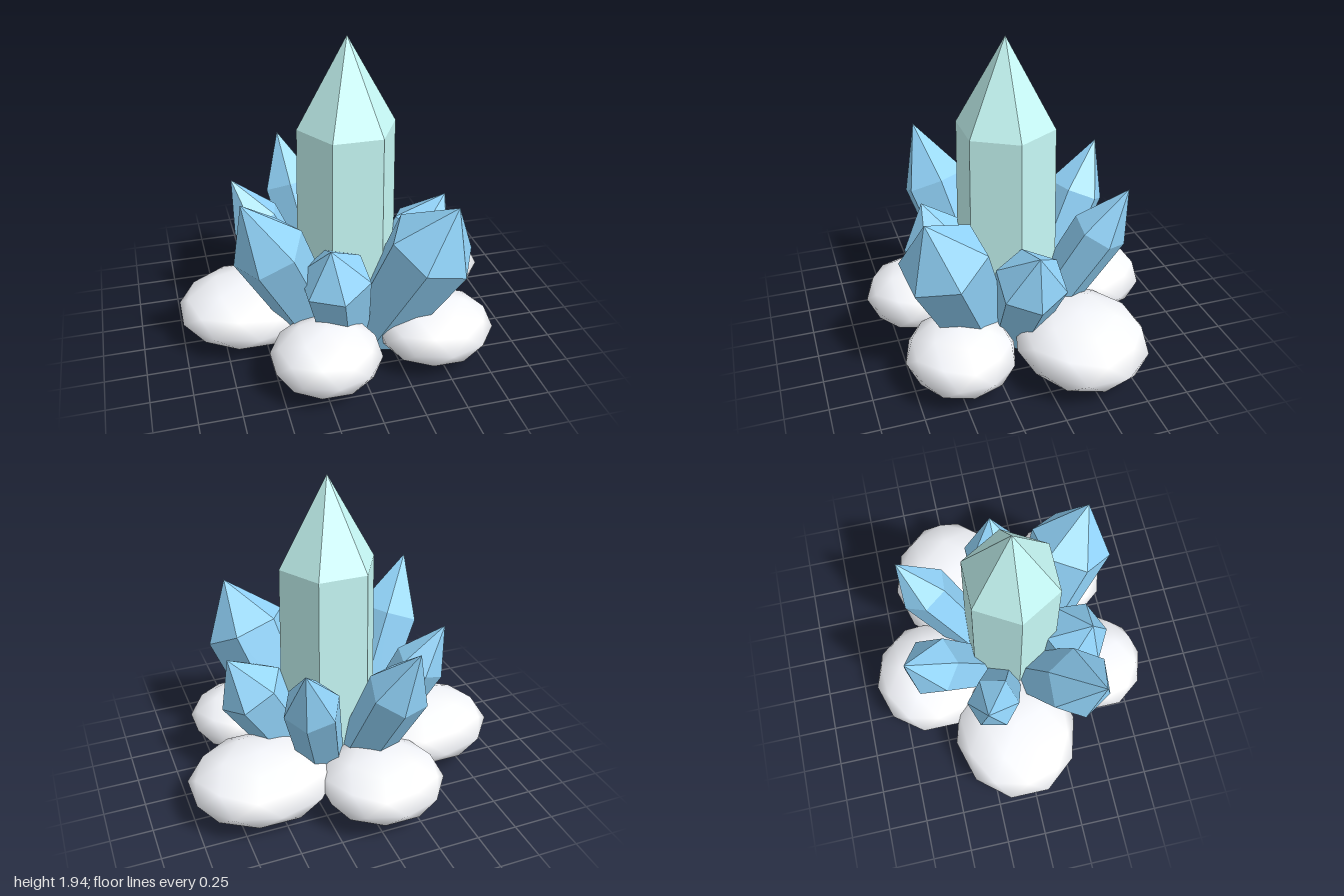
import * as THREE from 'three';

const paleMat = new THREE.MeshStandardMaterial({ color: 0xc6f8f5, flatShading: true });
const blueMat = new THREE.MeshStandardMaterial({ color: 0x92d4fa, flatShading: true });
const stoneMat = new THREE.MeshStandardMaterial({ color: 0xf6f8fd });

// Six-sided pointed crystal running from a base centre to its tip.
// phase (degrees) turns the facets; 0 puts a corner on the outward side.
function crystal(name, base, tip, shoulder, baseR, shoulderR, phase, material) {
  const from = new THREE.Vector3(...base);
  const axis = new THREE.Vector3(...tip).sub(from);
  const length = axis.length();
  axis.normalize();

  const profile = [[0, 0], [baseR, 0], [shoulderR, length * shoulder], [0, length]]
    .map(([r, y]) => new THREE.Vector2(r, y));
  const geometry = new THREE.LatheGeometry(profile, 6);
  geometry.rotateY(Math.PI / 2 - THREE.MathUtils.degToRad(phase));

  // Outward direction square to the axis
  const out = new THREE.Vector3(axis.x, 0, axis.z);
  if (out.length() < 0.01) out.set(1, 0, 0);
  out.addScaledVector(axis, -out.dot(axis)).normalize();
  const side = new THREE.Vector3().crossVectors(out, axis);
  geometry.applyMatrix4(new THREE.Matrix4().makeBasis(out, axis, side).setPosition(from));

  const mesh = new THREE.Mesh(geometry, material);
  mesh.name = name;
  return mesh;
}

// Flattened smooth stone: an icosphere with one corner up and a ten-sided rim
function stone(name, [x, y, z], [rx, ry, rz]) {
  const geometry = new THREE.IcosahedronGeometry(1, 1);
  geometry.rotateX(-Math.atan((1 + Math.sqrt(5)) / 2));
  geometry.rotateY(Math.PI / 10);
  geometry.scale(rx, ry, rz);
  const mesh = new THREE.Mesh(geometry, stoneMat);
  mesh.name = name;
  mesh.position.set(x, y, z);
  return mesh;
}

export function createModel() {
  const model = new THREE.Group();
  model.name = 'crystalCluster';

  // Tall upright crystal in the middle
  model.add(crystal('mainCrystal', [0.035, 0.06, 0.045], [0.035, 1.935, 0.045], 0.715, 0.317, 0.297, 0, paleMat));

  // Ring of leaning crystals: name, base, tip, shoulder fraction, base radius, shoulder radius, phase
  const leaning = [
    ['frontLeftCrystal', [0.18, 0.09, 0.25], [0.515, 1.105, 0.65], 0.71, 0.2, 0.265, 5],
    ['leftCrystal', [0.22, 0.11, 0.05], [0.67, 0.87, 0.05], 0.7, 0.17, 0.213, 0],
    ['backLeftCrystal', [0.14, 0.1, -0.14], [0.4, 1.06, -0.59], 0.7, 0.14, 0.168, 0],
    ['backCrystal', [-0.07, 0.1, -0.17], [-0.25, 1.09, -0.65], 0.69, 0.15, 0.185, 30],
    ['backRightCrystal', [-0.17, 0.1, -0.05], [-0.62, 0.99, -0.23], 0.71, 0.13, 0.16, 20],
    ['frontRightCrystal', [-0.18, 0.1, 0.15], [-0.66, 1.178, 0.45], 0.68, 0.16, 0.215, 30],
    ['frontCrystal', [-0.04, 0.09, 0.27], [-0.18, 0.855, 0.52], 0.71, 0.16, 0.215, 30],
  ];
  for (const row of leaning) model.add(crystal(...row, blueMat));

  // Stones around the foot
  model.add(
    stone('rightStone', [-0.57, 0.193, -0.05], [0.452, 0.185, 0.4]),
    stone('backStone', [-0.085, 0.205, -0.53], [0.38, 0.175, 0.367]),
    stone('backLeftStone', [0.57, 0.2, -0.25], [0.452, 0.19, 0.397]),
    stone('frontLeftStone', [0.48, 0.198, 0.465], [0.357, 0.182, 0.327]),
    stone('frontStone', [-0.225, 0.195, 0.575], [0.332, 0.187, 0.32]),
  );
  return model;
}
